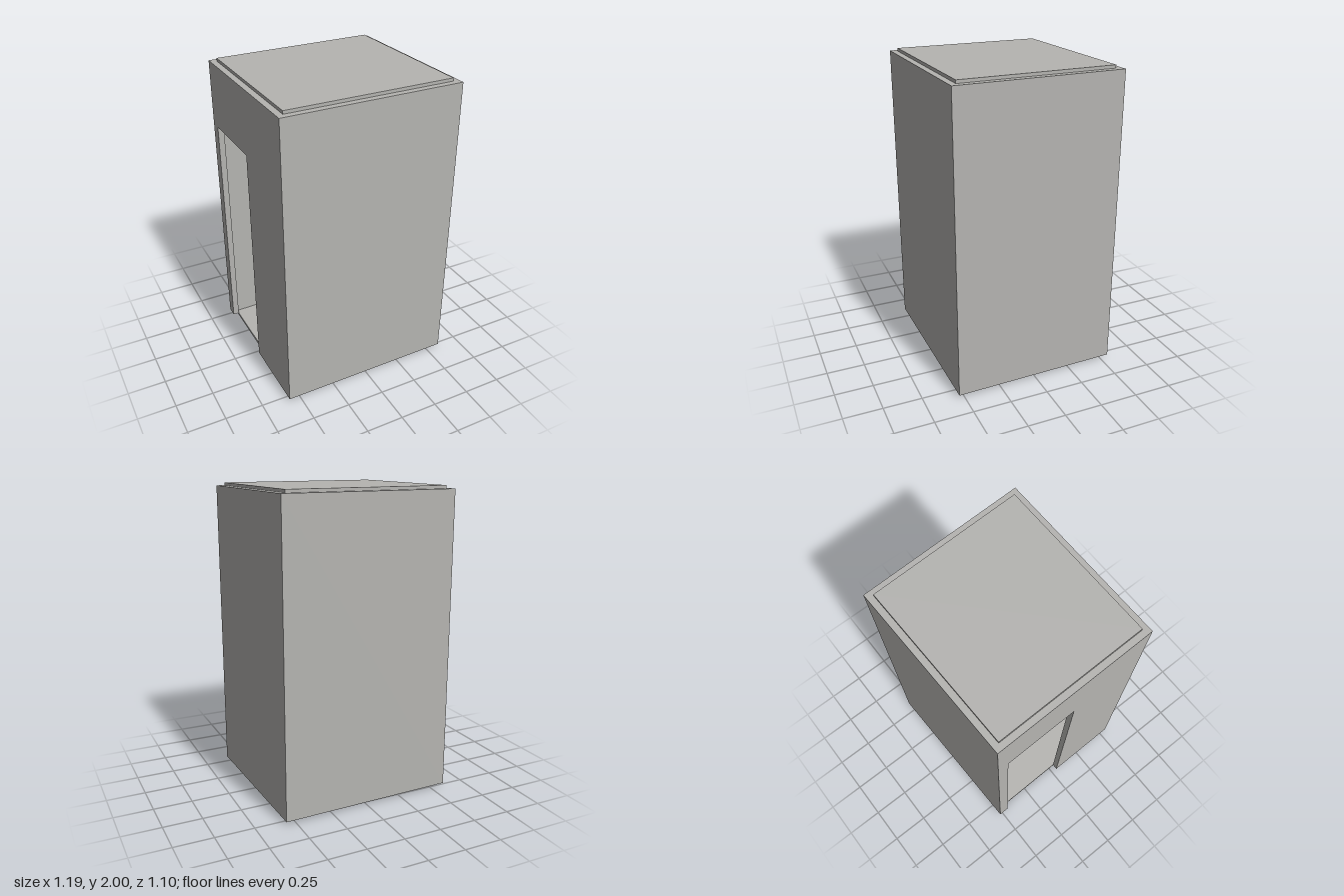
import * as THREE from 'three';

// Footprint corners as [x, z]: back right, back left, front left, front right
const OUTER = [[-0.594, -0.522], [0.564, -0.553], [0.592, 0.534], [-0.578, 0.55]];
const INNER = [[-0.553, -0.483], [0.523, -0.511], [0.549, 0.494], [-0.538, 0.508]];
const WALL_BASE = 0.02, WALL_TOP = 1.98, DOOR_TOP = 1.555;
const DOOR_BACK = -0.45, DOOR_FRONT = 0.04;

// Point at depth z on the -x side of a footprint
function onDoorSide(corners, z) {
  const [a, , , d] = corners;
  return [a[0] + (d[0] - a[0]) * (z - a[1]) / (d[1] - a[1]), z];
}

// Upright prism over an [x, z] outline
function prism(name, outline, y0, y1, material) {
  const shape = new THREE.Shape(outline.map(([x, z]) => new THREE.Vector2(x, -z)));
  const geometry = new THREE.ExtrudeGeometry(shape, { depth: y1 - y0, bevelEnabled: false });
  geometry.rotateX(-Math.PI / 2).translate(0, y0, 0);
  const mesh = new THREE.Mesh(geometry, material);
  mesh.name = name;
  return mesh;
}

export function createModel() {
  const group = new THREE.Group();
  group.name = 'room';
  const plaster = new THREE.MeshStandardMaterial({ color: 0xb5b4b1 });
  plaster.name = 'plaster grey';

  const [a, b, c, d] = OUTER;
  const [ai, bi, ci, di] = INNER;
  const outBack = onDoorSide(OUTER, DOOR_BACK), outFront = onDoorSide(OUTER, DOOR_FRONT);
  const inBack = onDoorSide(INNER, DOOR_BACK), inFront = onDoorSide(INNER, DOOR_FRONT);

  // Walls run round from one door jamb to the other; the lintel closes the gap
  group.add(
    prism('walls', [outFront, d, c, b, a, outBack, inBack, ai, bi, ci, di, inFront], WALL_BASE, WALL_TOP, plaster),
    prism('doorLintel', [outBack, outFront, inFront, inBack], DOOR_TOP, WALL_TOP, plaster),
    prism('floor', INNER, 0, WALL_BASE, plaster),
    prism('ceiling', INNER, WALL_TOP, 2, plaster)
  );
  return group;
}
